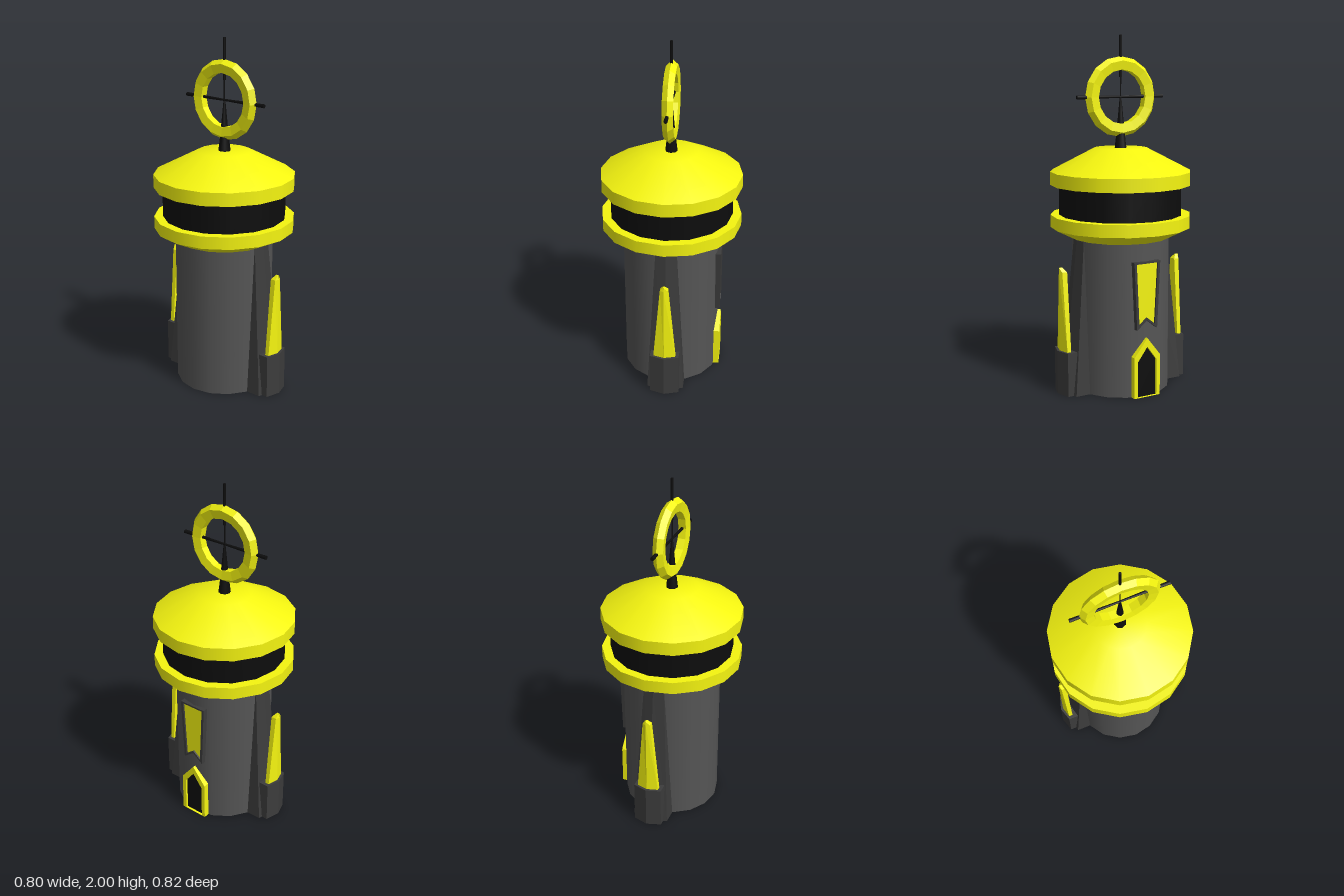
import * as THREE from 'three';

const mat = (color, flatShading = false) => new THREE.MeshStandardMaterial({ color, flatShading });
const YELLOW = 0xf5f510, BLACK = 0x0d0d0d, STONE = 0x555555, DARK = 0x3c3c3c;
const SIDES = 16;

export function createModel() {
  const root = new THREE.Group();

  const add = (name, geo, material, parent = root) => {
    const mesh = new THREE.Mesh(geo, material);
    mesh.name = name;
    parent.add(mesh);
    return mesh;
  };

  // upright cylinder or cone between two heights
  const drum = (name, y0, y1, r0, r1, color, sides = SIDES, open = false) => {
    const m = add(name, new THREE.CylinderGeometry(r1, r0, y1 - y0, sides, 1, open), mat(color));
    m.position.y = (y0 + y1) / 2;
    return m;
  };

  // prism with a ridged front, lofted through levels [y, halfWidth, zBack, zSide, zRidge]
  const ridged = (levels) => {
    const pos = [], idx = [];
    for (const [y, w, zb, zs, zr] of levels)
      for (const [x, z] of [[-w, zb], [w, zb], [w, zs], [0, zr], [-w, zs]]) pos.push(x, y, z);
    const last = (levels.length - 1) * 5;
    for (let l = 0; l < last; l += 5)
      for (let i = 0; i < 5; i++) {
        const a = l + i, b = l + (i + 1) % 5;
        idx.push(a, a + 5, b + 5, a, b + 5, b);
      }
    for (let i = 1; i < 4; i++) idx.push(0, i, i + 1, last, last + i + 1, last + i);
    const g = new THREE.BufferGeometry();
    g.setAttribute('position', new THREE.Float32BufferAttribute(pos, 3));
    g.setIndex(idx);
    const flat = g.toNonIndexed();
    flat.computeVertexNormals();
    return flat;
  };

  // tower shaft, gallery and lantern room
  drum('towerShaft', 0, 0.88, 0.28, 0.28, STONE);
  drum('galleryFlare', 0.87, 0.93, 0.28, 0.4, YELLOW);
  drum('galleryRim', 0.93, 1.0, 0.4, 0.4, YELLOW);
  drum('lanternBand', 1.0, 1.175, 0.35, 0.35, BLACK);

  // roof
  drum('roofRim', 1.17, 1.245, 0.4, 0.4, YELLOW);
  const roof = [[0.4, 1.245], [0.15, 1.375], [0, 1.375]].map((p) => new THREE.Vector2(...p));
  add('roofCone', new THREE.LatheGeometry(roof, SIDES), mat(YELLOW));

  // pilaster, footing and spire, front and back
  for (const side of [0, 1]) {
    const g = new THREE.Group();
    g.name = side ? 'backButtress' : 'frontButtress';
    g.rotation.y = side * Math.PI;
    add('pilaster', ridged([[0, 0.105, 0.1, 0.345, 0.37], [0.87, 0.06, 0.1, 0.27, 0.283]]), mat(DARK), g);
    add('footing', ridged([[0, 0.083, 0.3, 0.385, 0.41], [0.25, 0.083, 0.3, 0.385, 0.41]]), mat(DARK), g);
    add('spire', ridged([
      [0.25, 0.063, 0.355, 0.378, 0.395],
      [0.7, 0.022, 0.355, 0.385, 0.395],
      [0.725, 0.003, 0.375, 0.388, 0.395],
    ]), mat(YELLOW), g);
    root.add(g);
  }

  // flat shapes set into the +x side of the shaft
  const panel = (name, outer, inner, x, color) => {
    const pts = (list) => list.map((p) => new THREE.Vector2(...p));
    const shape = new THREE.Shape(pts(outer));
    if (inner) shape.holes.push(new THREE.Path(pts(inner)));
    const m = add(name, new THREE.ExtrudeGeometry(shape, { depth: 0.07, bevelEnabled: false }), mat(color));
    m.rotation.y = Math.PI / 2;
    m.position.x = x - 0.07;
  };
  const gable = (w, shoulder, peak) => [[-w, 0], [w, 0], [w, shoulder], [0, peak], [-w, shoulder]];
  const notched = (wb, wt, y0, notch, y1) => [[-wb, y0], [0, notch], [wb, y0], [wt, y1], [-wt, y1]];
  // frames run a little below the opening so the door jambs reach the ground
  const doorway = [[-0.06, 0.001], [0.06, 0.001], [0.06, 0.21], [0, 0.29], [-0.06, 0.21]];
  panel('doorFrame', gable(0.083, 0.235, 0.34), doorway, 0.298, YELLOW);
  panel('door', gable(0.062, 0.212, 0.292), null, 0.284, BLACK);
  const glass = notched(0.05, 0.068, 0.415, 0.455, 0.762);
  panel('windowFrame', notched(0.065, 0.083, 0.39, 0.44, 0.772), glass, 0.295, DARK);
  panel('windowPane', glass, null, 0.285, YELLOW);

  // ring standing in the yz plane
  const section = [[0.15, -0.022], [0.2, -0.03], [0.224, 0], [0.2, 0.03], [0.15, 0.022], [0.15, -0.022]];
  const ring = add('ring', new THREE.LatheGeometry(section.map((p) => new THREE.Vector2(...p)), SIDES), mat(YELLOW, true));
  ring.rotation.z = Math.PI / 2;
  ring.position.y = 1.66;

  // mast through the ring
  drum('mastBase', 1.37, 1.45, 0.035, 0.025, BLACK, 8);
  drum('mastCone', 1.45, 1.66, 0.025, 0.005, BLACK, 8);
  drum('mastWire', 1.66, 1.78, 0.004, 0.004, BLACK, 8);
  drum('mastTip', 1.77, 2.0, 0.008, 0.008, BLACK, 8);

  // cross arms, thickening outward
  for (const s of [1, -1]) {
    const arm = add('crossArm', new THREE.CylinderGeometry(0.011, 0.006, 0.275, 8), mat(BLACK));
    arm.rotation.x = s * Math.PI / 2;
    arm.position.set(0, 1.66, s * 0.1375);
  }
  return root;
}
